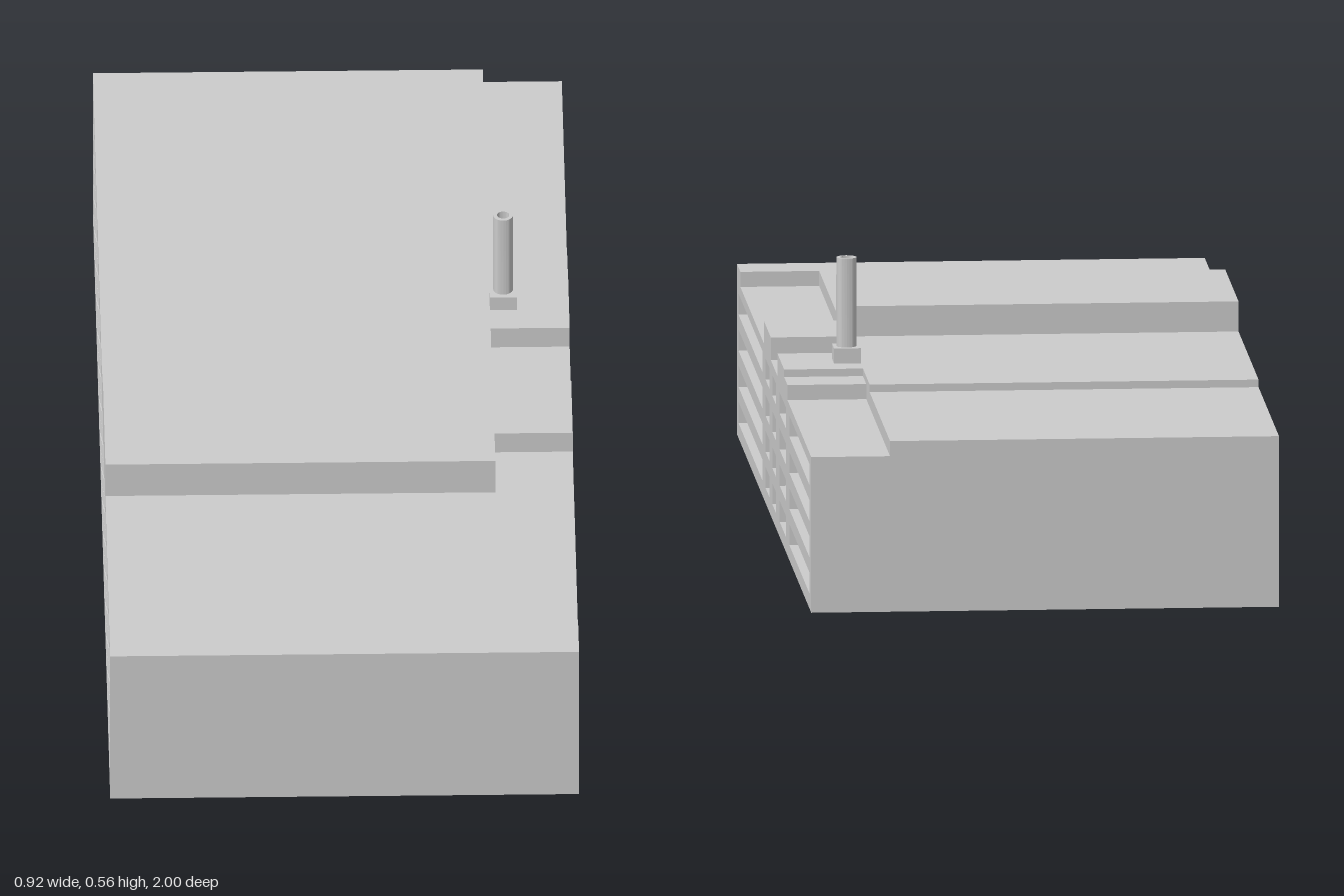
import * as THREE from 'three';
import { toCreasedNormals } from 'three/addons/utils/BufferGeometryUtils.js';

const HALF_W = 0.46;    // half width of the building
const STRIP_X = 0.305;  // where the lower side strip begins
const RECESS = 0.02;    // depth of the window bands

// Roof steps as [z start, z end, height], running front to back
const MAIN_STEPS = [[1, 0.45, 0.34], [0.45, 0.09, 0.415], [0.09, -0.45, 0.355], [-0.45, -1, 0.34]];
const STRIP_STEPS = [
  [1, 0.91, 0.34], [0.91, 0.27, 0.31], [0.27, 0.09, 0.355], [0.09, -0.09, 0.31],
  [-0.09, -0.27, 0.355], [-0.27, -0.36, 0.34], [-0.36, -1, 0.31],
];

// Window columns as [z start, z end]; every column has four rows
const LEFT_COLUMNS = [[0.96, 0.31], [0.23, 0.13], [0.05, -0.05], [-0.15, -0.32], [-0.41, -0.96]];
const RIGHT_COLUMNS = [[0.96, -0.96]];
const ROWS = [0.03, 0.102, 0.174, 0.246];
const ROW_H = 0.042;

export function createModel() {
  const group = new THREE.Group();
  const material = new THREE.MeshStandardMaterial({ color: 0xcccccc });

  const add = (name, geometry, x = 0, y = 0, z = 0) => {
    const mesh = new THREE.Mesh(geometry, material);
    mesh.name = name;
    mesh.position.set(x, y, z);
    group.add(mesh);
  };

  // Stepped side profile, drawn in (-z, y), pushed out from x0 to x1
  const slab = (steps, x0, x1, columns = []) => {
    const shape = new THREE.Shape();
    shape.moveTo(-1, 0);
    shape.lineTo(1, 0);
    for (const [z0, z1, h] of [...steps].reverse()) {
      shape.lineTo(-z1, h);
      shape.lineTo(-z0, h);
    }
    shape.closePath();
    for (const [z0, z1] of columns) {
      for (const y of ROWS) {
        const hole = new THREE.Path();
        hole.moveTo(-z0, y);
        hole.lineTo(-z0, y + ROW_H);
        hole.lineTo(-z1, y + ROW_H);
        hole.lineTo(-z1, y);
        hole.closePath();
        shape.holes.push(hole);
      }
    }
    const geometry = new THREE.ExtrudeGeometry(shape, { depth: x1 - x0, bevelEnabled: false });
    geometry.rotateY(Math.PI / 2);
    geometry.translate(x0, 0, 0);
    return geometry;
  };

  // Main hall and lower side strip, each closed by a wall with window openings
  add('mainHall', slab(MAIN_STEPS, -HALF_W + RECESS, STRIP_X));
  add('sideStrip', slab(STRIP_STEPS, STRIP_X, HALF_W - RECESS));
  add('rightWindowWall', slab(MAIN_STEPS, -HALF_W, -HALF_W + RECESS, RIGHT_COLUMNS));
  add('leftWindowWall', slab(STRIP_STEPS, HALF_W - RECESS, HALF_W, LEFT_COLUMNS));

  // Chimney: square base and hollow pipe
  add('chimneyBase', new THREE.BoxGeometry(0.053, 0.03, 0.058), 0.331, 0.37, -0.182);
  const pipe = [[0.0195, 0], [0.0195, 0.178], [0.012, 0.178], [0.012, 0.002], [0, 0.002]]
    .map(([r, y]) => new THREE.Vector2(r, y));
  add('chimneyPipe', toCreasedNormals(new THREE.LatheGeometry(pipe, 24), 0.6), 0.331, 0.384, -0.182);

  return group;
}
